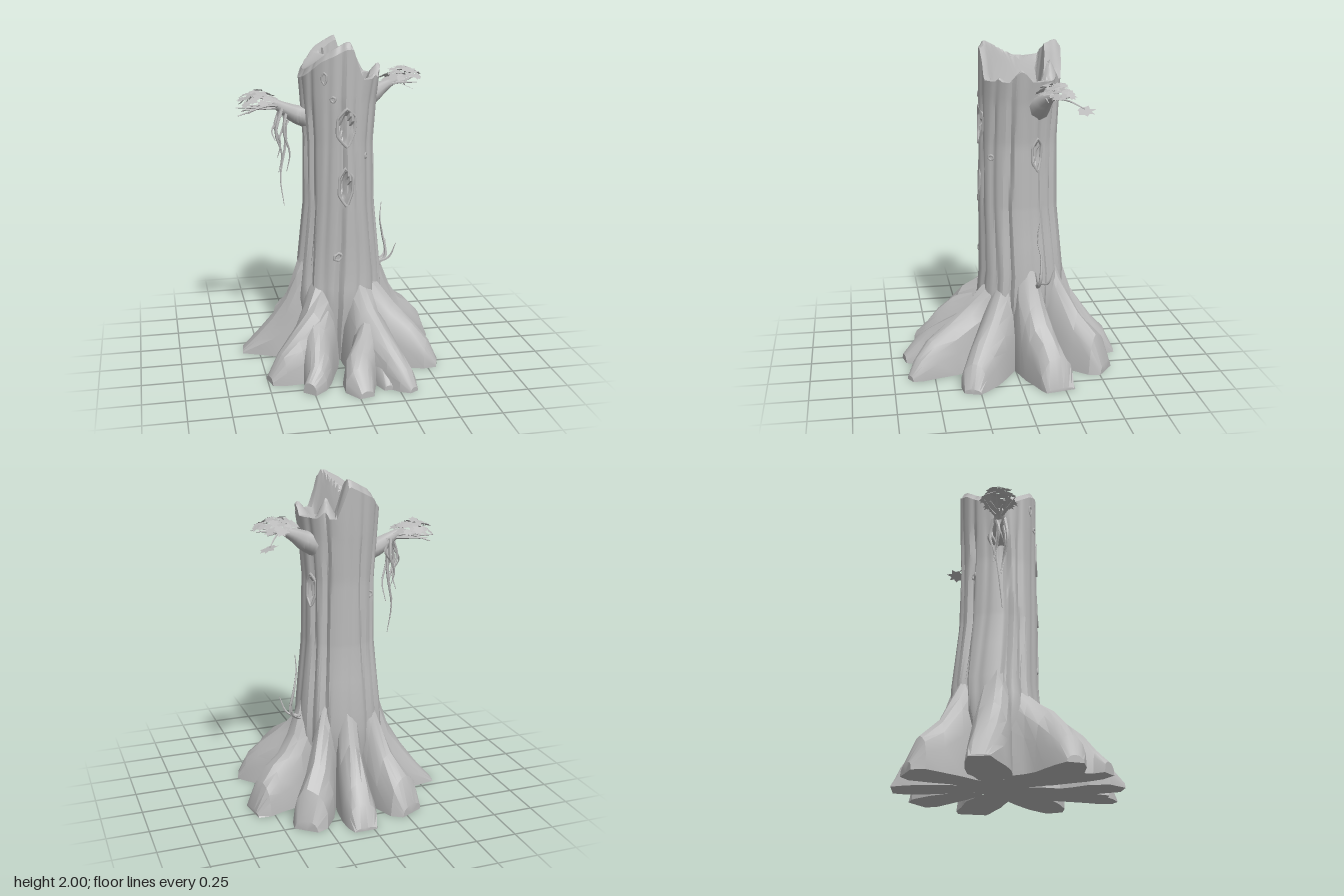
import * as THREE from 'three';
import { mergeGeometries, toCreasedNormals } from 'three/addons/utils/BufferGeometryUtils.js';

const bark = new THREE.MeshStandardMaterial({ color: 0xbababa });
bark.name = 'grey bark';
const leafGrey = new THREE.MeshStandardMaterial({ color: 0xbbbbbb, side: THREE.DoubleSide });
leafGrey.name = 'grey leaf';

let seed = 7;
const rand = (a = 0, b = 1) => {
  seed = (seed * 16807) % 2147483647;
  return a + (b - a) * seed / 2147483647;
};
const V = (x, y, z) => new THREE.Vector3(x, y, z);
const { smoothstep, clamp } = THREE.MathUtils;

// Skin a list of closed rings, each an array of points
function skin(rows, crease = 0.55) {
  const n = rows[0].length, idx = [];
  for (let i = 0; i < rows.length - 1; i++) {
    for (let j = 0; j < n; j++) {
      const a = i * n + j, b = i * n + (j + 1) % n;
      idx.push(a, b, b + n, a, b + n, a + n);
    }
  }
  const g = new THREE.BufferGeometry();
  g.setAttribute('position', new THREE.Float32BufferAttribute(rows.flat().flatMap(p => [p.x, p.y, p.z]), 3));
  g.setIndex(idx);
  return toCreasedNormals(g, crease);
}

// Tapered limb along a smooth path
function limb(pts, r0, r1, sides = 5, steps = 10) {
  const curve = new THREE.CatmullRomCurve3(pts.map(p => V(...p)));
  const { normals, binormals } = curve.computeFrenetFrames(steps);
  const rows = [];
  for (let i = 0; i <= steps; i++) {
    const c = curve.getPointAt(i / steps), r = r0 + (r1 - r0) * i / steps, ring = [];
    for (let j = 0; j < sides; j++) {
      const a = j / sides * Math.PI * 2;
      ring.push(c.clone().addScaledVector(normals[i], r * Math.cos(a)).addScaledVector(binormals[i], r * Math.sin(a)));
    }
    rows.push(ring);
  }
  const end = curve.getPointAt(1);
  rows.push(rows[0].map(() => end.clone()));
  return skin(rows, 0.8);
}

// Trunk stations: y, centre x, centre z, radius x, radius z
const stations = [
  [0, 0, -0.05, 0.18, 0.18], [0.2, 0, -0.055, 0.225, 0.22], [0.4, 0.01, -0.065, 0.27, 0.265], [0.6, 0.015, -0.075, 0.258, 0.26],
  [1, 0.012, -0.055, 0.218, 0.24], [1.4, 0.01, -0.055, 0.212, 0.235], [1.65, 0.012, -0.06, 0.23, 0.24],
  [1.8, 0.018, -0.064, 0.245, 0.244], [2.1, 0.018, -0.064, 0.245, 0.244]];
const grooves = [-2.75, -2.3, -1.9, -1.35, -0.95, -0.5, -0.13, 0.33, 0.8, 1.2, 1.65, 2.1, 2.5, 3.05];
// Hollows: angle, y, half width, half height, rim radius
const hollows = [[0.03, 1.5, 0.068, 0.115, 0.01], [0.0, 1.14, 0.052, 0.115, 0.009], [1.95, 1.34, 0.04, 0.1, 0.009]];
const knots = [[-0.55, 1.79, 0.015, 0.035, 0.007], [-0.33, 1.67, 0.014, 0.016, 0.008], [-0.2, 0.7, 0.025, 0.025, 0.01],
  [0.68, 1.32, 0.015, 0.015, 0.008], [-2.3, 1.3, 0.02, 0.02, 0.008]];

function trunkPoint(a, y, s = 1) {
  let k = 0;
  while (k < stations.length - 2 && y > stations[k + 1][0]) k++;
  const p = stations[k], q = stations[k + 1], t = (y - p[0]) / (q[0] - p[0]);
  const [, cx, cz, rx, rz] = p.map((v, i) => v + (q[i] - v) * t);
  let f = 1.015;
  const fade = 1 - 0.6 * smoothstep(y, 1.5, 1.8);
  grooves.forEach((g, i) => {
    let d = a - g - 0.05 * Math.sin(y * 3.1 + i * 1.7);
    d = Math.abs(Math.atan2(Math.sin(d), Math.cos(d)));
    f -= fade * (0.08 + 0.05 * Math.sin(i * 2.3)) * Math.max(0, 1 - d / 0.12);
  });
  for (const [ha, hy, w, h] of hollows) {
    const d = Math.atan2(Math.sin(a - ha), Math.cos(a - ha)) * 0.23;
    if (Math.abs(d) / w + Math.abs(y - hy) / h < 0.8) f -= 0.1;
  }
  return V(cx + rx * s * f * Math.sin(a), y, cz + rz * s * f * Math.cos(a));
}

// Broken top: bevelled sloping slab, steep step, low floor and splintered teeth
const teeth = [[0.14, -0.22, 1.91, 2.2], [0.25, -0.04, 1.86, 1.2], [0.2, 0.08, 1.81, 1]];
function topHeight(x, z, s) {
  const edge = z < -0.19 ? 0.03 : (z - 0.04) * 0.42;
  const bevel = 0.04 * smoothstep(s, 0.88, 1);
  const dip = 0.06 * Math.max(0, 1 - ((z + 0.06) / 0.2) ** 2);
  const slab = Math.min(2, 1.88 + 0.5 * (x + 0.22)) - dip - bevel;
  const t = clamp((x - edge) / 0.07, 0, 1);
  let y = slab + ((s > 0.8 ? 1.78 : 1.74) - slab) * t;
  if (s > 0.72) for (const [tx, tz, h, k] of teeth) y = Math.max(y, h - k * Math.hypot(x - tx, z - tz));
  return y;
}

function makeTrunk() {
  const N = 112, rows = [];
  const ring = f => Array.from({ length: N }, (_, j) => f(j / N * Math.PI * 2));
  rows.push(ring(() => V(0, 0, -0.05)));
  for (const y of [0, 0.2, 0.4, 0.5, 0.6, 0.8]) rows.push(ring(a => trunkPoint(a, y)));
  for (let y = 1; y < 1.7; y += 0.03) rows.push(ring(a => trunkPoint(a, y)));
  for (const s of [1, 0.96, 0.9, 0.84, 0.76, 0.68, 0.6, 0.5, 0.4, 0.3, 0.2, 0.1, 0]) {
    rows.push(ring(a => {
      const p = trunkPoint(a, 1.8, s);
      p.y = topHeight(p.x, p.z, s);
      return p;
    }));
  }
  return skin(rows);
}

// Roots: stations of x, z, half width, height
const roots = {
  backRoot: [[0.03, -0.2, 0.07, 0.92], [0.03, -0.32, 0.085, 0.64], [0.035, -0.39, 0.095, 0.43], [0.045, -0.53, 0.1, 0.24], [0.05, -0.61, 0.09, 0.15], [0.05, -0.67, 0.07, 0.02]],
  backRightRoot: [[-0.08, -0.19, 0.07, 0.85], [-0.15, -0.29, 0.085, 0.55], [-0.2, -0.39, 0.105, 0.34], [-0.26, -0.5, 0.12, 0.22], [-0.29, -0.56, 0.08, 0.06]],
  backLeftRoot: [[0.1, -0.19, 0.07, 0.85], [0.19, -0.29, 0.085, 0.55], [0.26, -0.4, 0.105, 0.35], [0.34, -0.5, 0.11, 0.23], [0.38, -0.55, 0.075, 0.06]],
  rightRoot: [[-0.16, -0.07, 0.09, 0.86], [-0.25, -0.08, 0.11, 0.6], [-0.31, -0.1, 0.125, 0.41], [-0.4, -0.12, 0.115, 0.26], [-0.5, -0.14, 0.09, 0.13], [-0.6, -0.15, 0.06, 0.01]],
  leftRoot: [[0.17, -0.07, 0.09, 0.9], [0.27, -0.1, 0.11, 0.63], [0.33, -0.13, 0.12, 0.46], [0.4, -0.15, 0.12, 0.34], [0.48, -0.18, 0.11, 0.28], [0.555, -0.21, 0.11, 0.19], [0.615, -0.22, 0.09, 0.02]],
  frontLeftSideRoot: [[0.12, 0.01, 0.11, 0.78], [0.21, 0.09, 0.12, 0.51], [0.32, 0.16, 0.12, 0.37], [0.43, 0.23, 0.11, 0.26], [0.51, 0.28, 0.085, 0.16], [0.57, 0.3, 0.05, 0.03]],
  frontLeftRoot: [[0.11, 0.05, 0.12, 0.6], [0.12, 0.18, 0.13, 0.49], [0.145, 0.28, 0.135, 0.4], [0.19, 0.4, 0.12, 0.3], [0.25, 0.52, 0.09, 0.215], [0.3, 0.6, 0.065, 0.13], [0.33, 0.65, 0.03, 0.03]],
  frontLeftFork: [[0.13, 0.3, 0.11, 0.36], [0.08, 0.41, 0.1, 0.28], [0.03, 0.5, 0.1, 0.215], [0.02, 0.58, 0.09, 0.145], [0.04, 0.67, 0.045, 0.04]],
  frontLeftToe: [[0.17, 0.45, 0.07, 0.2], [0.19, 0.54, 0.05, 0.1], [0.19, 0.6, 0.03, 0.03]],
  frontRightRoot: [[-0.12, 0.03, 0.12, 0.63], [-0.15, 0.14, 0.13, 0.49], [-0.22, 0.25, 0.135, 0.39], [-0.33, 0.31, 0.12, 0.28], [-0.42, 0.34, 0.09, 0.18], [-0.49, 0.36, 0.05, 0.04]],
  frontRightFork: [[-0.16, 0.2, 0.12, 0.42], [-0.2, 0.33, 0.11, 0.33], [-0.21, 0.43, 0.085, 0.24], [-0.23, 0.5, 0.065, 0.15], [-0.28, 0.56, 0.045, 0.07]],
};

function makeRoot(pts) {
  const n = 10;
  const rows = pts.map(([x, z, w, h], i) => {
    const p = pts[Math.max(0, i - 1)], q = pts[Math.min(pts.length - 1, i + 1)];
    const T = V(q[0] - p[0], 0, q[1] - p[1]).normalize();
    return Array.from({ length: n }, (_, j) => {
      const phi = j / (n - 1) * Math.PI, base = j === 0 || j === n - 1;
      const c = w * Math.cos(phi) * (base ? 1 : rand(0.9, 1.06));
      return V(x + T.z * c, base ? 0 : h * Math.sin(phi) ** 0.75 * rand(0.96, 1.03), z - T.x * c);
    });
  });
  const e = pts[pts.length - 1];
  rows.push(rows[0].map(() => V(e[0], 0, e[1])));
  return skin(rows, 0.45);
}

// Raised rim of a hollow, lying on the trunk surface
function makeRim(a, y, w, h, r) {
  const outline = [[0, 1], [0.9, 0.55], [0.8, -0.25], [0.1, -1], [-0.85, -0.4], [-0.8, 0.5]];
  const pts = outline.map(([u, v]) => trunkPoint(a + u * w / 0.23, y + v * h, 0.995));
  return new THREE.TubeGeometry(new THREE.CatmullRomCurve3(pts, true, 'catmullrom', 0.15), 30, r, 5, true);
}

// Flat lobed leaf
function makeLeaf(size) {
  const pts = [];
  for (let i = 0; i < 14; i++) {
    const r = size * (i % 2 ? 0.65 : 1) * rand(0.8, 1.15), a = i / 14 * Math.PI * 2;
    pts.push(new THREE.Vector2(r * Math.cos(a), r * Math.sin(a)));
  }
  return new THREE.ShapeGeometry(new THREE.Shape(pts)).rotateX(-Math.PI / 2);
}

// Flat dome of overlapping leaves
function makeFoliage(cx, cy, cz, rx, rz, turn, count) {
  const parts = [];
  for (let i = 0; i < count; i++) {
    const r = Math.sqrt((i + 0.5) / count), a = i * 2.4;
    const u = rx * r * Math.cos(a), v = rz * r * Math.sin(a);
    const g = makeLeaf(rand(0.03, 0.044));
    g.rotateZ(-0.5 * r * Math.cos(a) + rand(-0.25, 0.25)).rotateX(0.5 * r * Math.sin(a) + rand(-0.25, 0.25));
    g.translate(cx + u * Math.cos(turn) + v * Math.sin(turn), cy + 0.05 * (1 - r * r) + rand(-0.025, 0.012), cz - u * Math.sin(turn) + v * Math.cos(turn));
    parts.push(g);
  }
  return mergeGeometries(parts);
}

export function createModel() {
  const model = new THREE.Group();
  model.name = 'treeStump';
  const add = (name, geo, mat = bark) => {
    const m = new THREE.Mesh(geo, mat);
    m.name = name;
    model.add(m);
  };
  add('trunk', makeTrunk());
  for (const [name, pts] of Object.entries(roots)) add(name, makeRoot(pts));
  hollows.forEach(h => add('hollowRim', makeRim(...h)));
  knots.forEach(k => add('knot', makeRim(...k)));

  // Branches
  add('rightBranch', limb([[-0.18, 1.535, -0.06], [-0.24, 1.55, -0.06], [-0.31, 1.585, -0.05], [-0.39, 1.63, -0.05]], 0.07, 0.024, 8));
  add('leftBranch', limb([[0.18, 1.62, -0.145], [0.25, 1.645, -0.155], [0.31, 1.68, -0.17], [0.4, 1.72, -0.19]], 0.078, 0.018, 8));

  // Twigs carrying the foliage
  for (let i = 0; i < 6; i++) {
    const t = (i - 2.5) / 2.5;
    add('rightTwig', limb([[-0.33, 1.6, -0.05], [-0.42, 1.6 + 0.02 * (i % 2), -0.05 + 0.05 * t], [-0.54 - 0.07 * (i % 3) / 2, 1.6 - 0.03 * (i % 2), -0.05 + 0.09 * t]], 0.011, 0.003));
    add('leftTwig', limb([[0.32, 1.69, -0.17], [0.42, 1.71, -0.19 + 0.04 * t], [0.47 + 0.06 * (i % 3) / 2, 1.73 - 0.02 * (i % 2), -0.22 + 0.08 * t]], 0.011, 0.003));
  }

  // Foliage
  add('rightFoliage', makeFoliage(-0.475, 1.645, -0.055, 0.12, 0.09, 0, 38), leafGrey);
  add('leftFoliage', makeFoliage(0.44, 1.745, -0.205, 0.14, 0.07, 0.35, 38), leafGrey);
  add('looseLeaf', makeLeaf(0.058).rotateZ(-0.4).translate(0.52, 1.655, -0.355), leafGrey);

  // Hanging vines
  [[-0.38, 1.4, -0.04], [-0.36, 1.28, -0.07], [-0.33, 0.99, -0.05], [-0.31, 1.2, -0.03], [-0.3, 1.4, -0.08], [-0.36, 1.2, -0.02], [-0.33, 1.3, -0.09]].forEach(([x, y, z], i) => {
    const w = i % 2 ? 0.018 : -0.018, d = 1.59 - y;
    add('hangingVine', limb([[x * 0.6 - 0.12, 1.6, z], [x - w, 1.59 - d * 0.35, z + w], [x + w, 1.59 - d * 0.7, z], [x, y, z - w]], 0.013, 0.002, 5, 14));
  });

  // Sprouts at the base and short twig on the left foliage
  add('baseSprout', limb([[0.27, 0.53, -0.13], [0.34, 0.58, -0.14], [0.32, 0.74, -0.15], [0.3, 0.84, -0.13], [0.31, 0.95, -0.14]], 0.013, 0.002, 5, 14));
  add('baseSproutSide', limb([[0.29, 0.55, -0.13], [0.36, 0.58, -0.12], [0.4, 0.68, -0.1]], 0.011, 0.002));
  add('baseSproutLow', limb([[0.28, 0.56, -0.14], [0.34, 0.58, -0.19], [0.36, 0.67, -0.22]], 0.01, 0.002));
  add('leftFoliageTwig', limb([[0.4, 1.72, -0.19], [0.46, 1.7, -0.28], [0.51, 1.665, -0.35]], 0.007, 0.003));
  return model;
}
